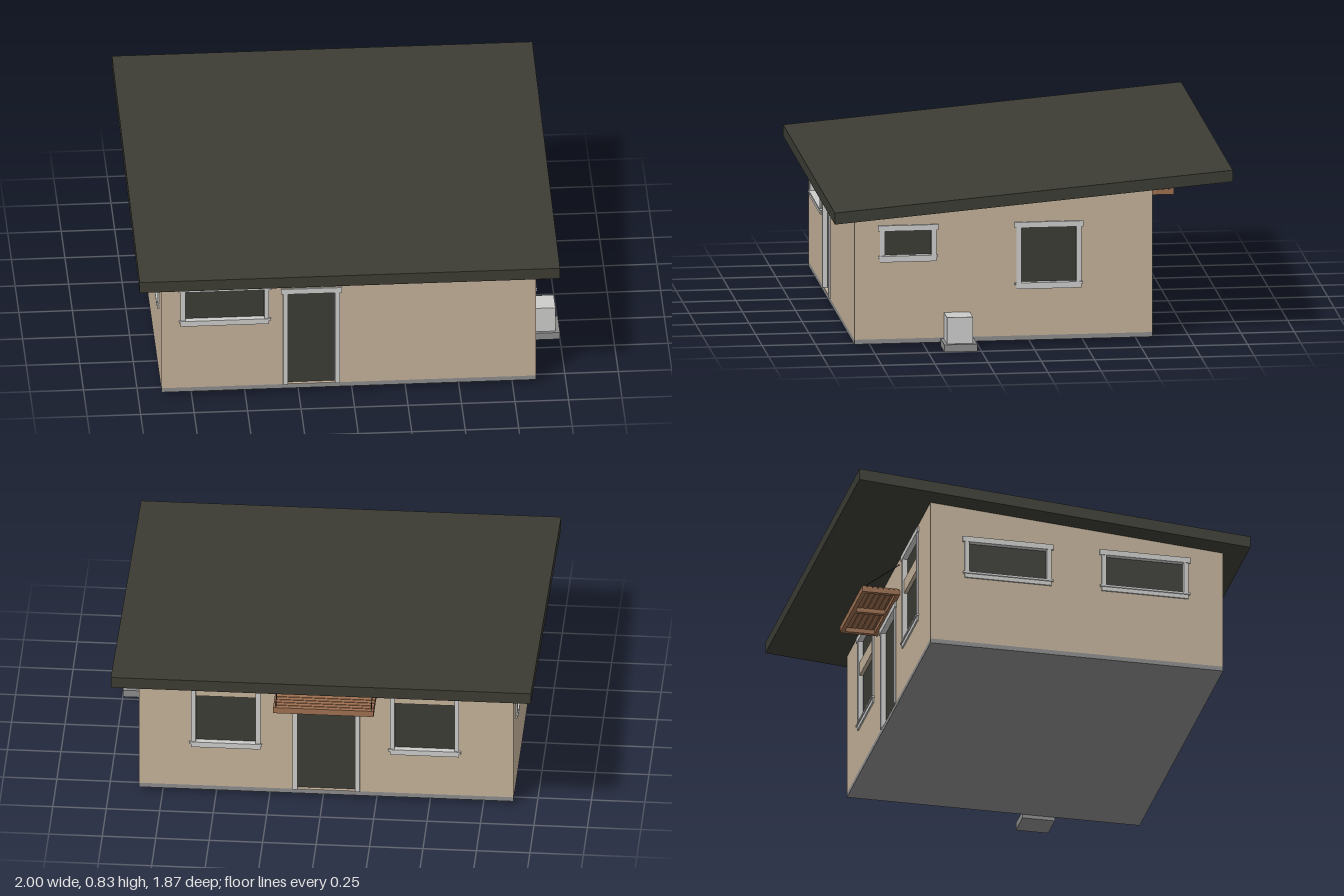
import * as THREE from 'three';

const paint = (name, color) => {
  const m = new THREE.MeshStandardMaterial({ color });
  m.name = name;
  return m;
};

// House footprint and roof line
const X0 = -0.89, X1 = 0.86, Z0 = -0.57, Z1 = 0.83, FLOOR = 0.04, THICK = 0.03;
const underside = (z) => 0.615 + (0.935 - z) * 0.083;

export function createModel() {
  const mats = {
    wall: paint('beige stucco', 0xc3b199),
    trim: paint('light grey trim', 0xcccdcb),
    roof: paint('dark roof', 0x3c3c34),
    glass: paint('dark glass', 0x3b3c35),
    concrete: paint('concrete', 0x8c8c8c),
    wood: paint('stained wood', 0x9d6f50),
    cable: paint('black cable', 0x222222),
  };
  const house = new THREE.Group();
  house.name = 'house';

  // Box given by its minimum and maximum corners
  const box = (parent, name, mat, a, b) => {
    const mesh = new THREE.Mesh(new THREE.BoxGeometry(b[0] - a[0], b[1] - a[1], b[2] - a[2]), mat);
    mesh.position.set((a[0] + b[0]) / 2, (a[1] + b[1]) / 2, (a[2] + b[2]) / 2);
    mesh.name = name;
    parent.add(mesh);
    return mesh;
  };

  // Trim, sill and glass of one opening; the wall's outer face is local z = 0
  const addOpening = (wall, o) => {
    const g = new THREE.Group();
    g.name = o.door ? 'door' : 'window';
    g.position.x = o.u;
    const h = o.w / 2, back = -0.025, out = 0.007;
    const low = o.door ? o.y0 : o.y0 - 0.03;
    box(g, 'pane', mats.glass, [-h - 0.005, o.y0, back], [h + 0.005, o.y1 + 0.005, -0.017]);
    for (const s of [-1, 1]) {
      const [a, b] = [s * h, s * (h + 0.022)].sort((p, q) => p - q);
      box(g, 'sideTrim', mats.trim, [a, low, back], [b, o.y1, out]);
    }
    box(g, 'headTrim', mats.trim, [-h - 0.032, o.y1, back], [h + 0.032, o.y1 + 0.027, out + 0.002]);
    if (!o.door) {
      box(g, 'apron', mats.trim, [-h, low, back], [h, o.y0, out]);
      box(g, 'sill', mats.trim, [-h - 0.03, o.y0 - 0.01, back], [h + 0.03, o.y0, 0.012]);
    }
    // Wall band separating a transom from the window below
    if (o.band) box(g, 'transomBand', mats.wall, [-h, o.band[0], back], [h, o.band[1], 0]);
    wall.add(g);
  };

  // Wall panel: outline from u0 to u1 with its two top heights, cut by openings
  const addWall = (name, x, z, turn, u0, u1, top0, top1, openings) => {
    const wall = new THREE.Group();
    wall.name = name;
    wall.position.set(x, 0, z);
    wall.rotation.y = turn;
    const shape = new THREE.Shape([
      new THREE.Vector2(u0, FLOOR), new THREE.Vector2(u1, FLOOR),
      new THREE.Vector2(u1, top1), new THREE.Vector2(u0, top0),
    ]);
    for (const o of openings) {
      const h = o.w / 2 + 0.01, low = o.door ? o.y0 + 0.001 : o.y0 - 0.01, high = o.y1 + 0.01;
      shape.holes.push(new THREE.Path([
        new THREE.Vector2(o.u - h, low), new THREE.Vector2(o.u - h, high),
        new THREE.Vector2(o.u + h, high), new THREE.Vector2(o.u + h, low),
      ]));
    }
    const geo = new THREE.ExtrudeGeometry(shape, { depth: THICK, bevelEnabled: false });
    geo.translate(0, 0, -THICK);
    const panel = new THREE.Mesh(geo, mats.wall);
    panel.name = 'wallPanel';
    wall.add(panel);
    openings.forEach((o) => addOpening(wall, o));
    house.add(wall);
  };

  const lowTop = underside(Z1) + 0.003, highTop = underside(Z0) + 0.003;
  addWall('frontWall', 0, Z1, 0, X0 + THICK, X1 - THICK, lowTop, lowTop, [
    { u: -0.595, w: 0.37, y0: 0.4, y1: 0.553 },
    { u: -0.19, w: 0.22, y0: FLOOR, y1: 0.525, door: true },
  ]);
  addWall('backWall', 0, Z0, Math.PI, -X1 + THICK, -X0 - THICK, highTop, highTop, [
    { u: -0.455, w: 0.28, y0: 0.28, y1: 0.7, band: [0.525, 0.592] },
    { u: 0.015, w: 0.27, y0: FLOOR, y1: 0.525, door: true },
    { u: 0.475, w: 0.28, y0: 0.28, y1: 0.7, band: [0.525, 0.592] },
  ]);
  addWall('sideWallWithUnit', X1, 0, Math.PI / 2, -Z1, -Z0, lowTop, highTop, [
    { u: -0.578, w: 0.22, y0: 0.437, y1: 0.555 },
    { u: 0.083, w: 0.26, y0: 0.293, y1: 0.555 },
  ]);
  addWall('plainSideWall', X0, 0, -Math.PI / 2, Z0, Z1, highTop, lowTop, [
    { u: -0.2, w: 0.37, y0: 0.4, y1: 0.553 },
    { u: 0.455, w: 0.37, y0: 0.4, y1: 0.553 },
  ]);

  // Floor slab
  box(house, 'floorSlab', mats.concrete, [X0, 0.018, Z0], [X1, FLOOR, Z1]);

  // Single-pitch roof: a box sheared so its ends stay vertical
  const roof = box(house, 'roof', mats.roof, [-1, 0, -0.935], [0.965, 0.055, 0.935]);
  const pos = roof.geometry.attributes.position;
  for (let i = 0; i < pos.count; i++) pos.setY(i, pos.getY(i) + underside(pos.getZ(i)));
  roof.geometry.computeVertexNormals();

  // Outdoor unit on its pad
  const unit = new THREE.Group();
  unit.name = 'outdoorUnit';
  box(unit, 'pad', mats.concrete, [X1, 0, 0.27], [1, 0.035, 0.425]);
  box(unit, 'cabinet', mats.trim, [X1 + 0.002, 0.035, 0.288], [0.98, 0.16, 0.41]);
  house.add(unit);

  // Slatted awning over the back door
  const awning = new THREE.Group();
  awning.name = 'awning';
  const ax0 = -0.25, ax1 = 0.22, az0 = -0.75, mid = (ax0 + ax1) / 2;
  for (const x of [ax0 + 0.01, mid, ax1 - 0.01])
    box(awning, 'rafter', mats.wood, [x - 0.01, 0.555, az0], [x + 0.01, 0.578, Z0]);
  for (const z of [az0, Z0 - 0.02])
    box(awning, 'rail', mats.wood, [ax0, 0.555, z], [ax1, 0.578, z + 0.02]);
  const slats = 7, pitch = (Z0 - az0) / slats;
  for (let i = 0; i < slats; i++) {
    const z = az0 + i * pitch;
    box(awning, 'slat', mats.wood, [ax0, 0.576, z], [ax1, 0.585, z + pitch - 0.004]);
  }
  // Support cables from the wall to the outer rail
  for (const x of [ax0 + 0.012, ax1 - 0.012]) {
    const line = new THREE.LineCurve3(
      new THREE.Vector3(x, 0.715, Z0), new THREE.Vector3(x, 0.583, az0 + 0.008));
    const cable = new THREE.Mesh(new THREE.TubeGeometry(line, 1, 0.002, 6), mats.cable);
    cable.name = 'cable';
    awning.add(cable);
  }
  house.add(awning);
  return house;
}
